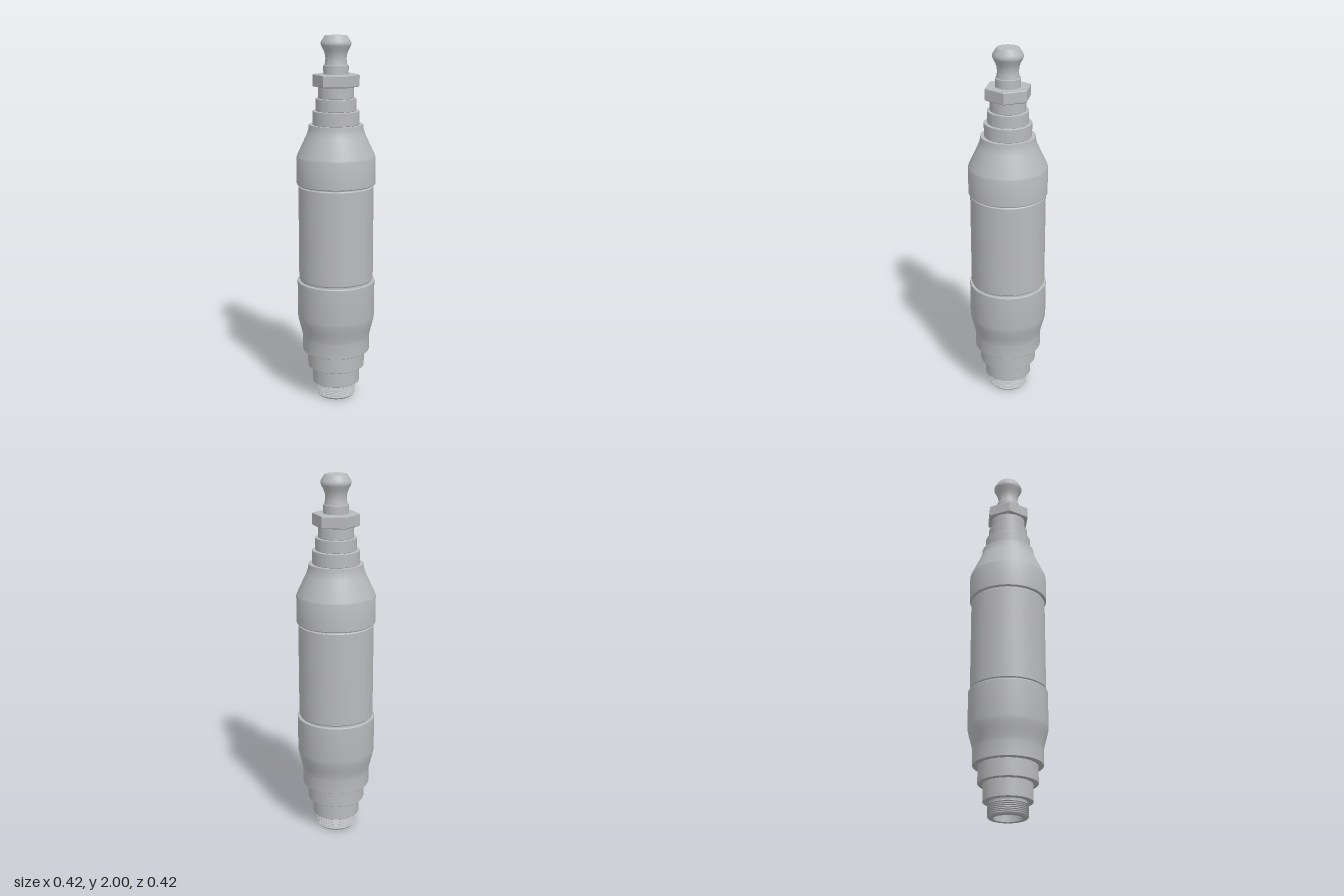
import * as THREE from 'three';
import { toCreasedNormals } from 'three/addons/utils/BufferGeometryUtils.js';

export function createModel() {
  const model = new THREE.Group();
  model.name = 'cylindricalSensor';
  const steel = new THREE.MeshStandardMaterial({ color: 0xb9babd });
  steel.name = 'satin steel';

  const add = (name, geometry) => {
    const mesh = new THREE.Mesh(geometry, steel);
    mesh.name = name;
    model.add(mesh);
  };
  // Turned part: [radius, height] pairs from bottom to top
  const turn = (name, points, segments = 72) => {
    const profile = points.map(([r, y]) => new THREE.Vector2(r, y));
    add(name, toCreasedNormals(new THREE.LatheGeometry(profile, segments), 0.4));
  };
  // Solid disc-like step with a tiny edge break
  const step = (name, r, y0, y1, c = 0.002) =>
    turn(name, [[0, y0], [r - c, y0], [r, y0 + c], [r, y1 - c], [r - c, y1], [0, y1]]);

  // Threaded connector with an open bore
  const thread = [[0, 0.07], [0.074, 0.07], [0.074, 0], [0.098, 0], [0.104, 0.007]];
  const turns = 7, pitch = 0.0095;
  for (let i = 0; i < turns; i++) {
    const y = 0.009 + i * pitch;
    thread.push([0.106, y], [0.106, y + 0.002], [0.099, y + pitch * 0.55], [0.099, y + pitch * 0.7]);
  }
  thread.push([0.1, 0.085], [0, 0.085]);
  turn('threadedConnector', thread);

  // Lower stepped collars
  step('lowerCollarSmall', 0.13, 0.082, 0.176);
  step('lowerCollarLarge', 0.157, 0.176, 0.271);

  // Lower housing with a soft S-shaped shoulder
  const lower = [[0, 0.271], [0.183, 0.271], [0.185, 0.273], [0.185, 0.35]];
  for (let i = 1; i <= 10; i++) {
    const t = i / 10;
    const s = 0.5 * t + 0.5 * t * t * (3 - 2 * t);
    lower.push([0.185 + 0.027 * s, 0.35 + 0.125 * t]);
  }
  lower.push([0.212, 0.672], [0.209, 0.676], [0, 0.676]);
  turn('lowerHousing', lower);

  // Main barrel between two narrow seams
  step('lowerSeam', 0.197, 0.67, 0.69, 0.001);
  step('barrel', 0.203, 0.684, 1.206, 0.005);
  step('upperSeam', 0.197, 1.2, 1.22, 0.001);

  // Upper housing tapering to a neck
  turn('upperHousing', [
    [0, 1.213], [0.209, 1.213], [0.212, 1.217], [0.212, 1.36], [0.209, 1.37],
    [0.16, 1.475], [0.152, 1.495], [0.147, 1.515], [0.145, 1.535], [0, 1.535],
  ]);

  // Upper stepped collars
  step('upperCollarLarge', 0.126, 1.535, 1.608);
  step('upperCollarMiddle', 0.109, 1.608, 1.674);
  step('upperCollarSmall', 0.095, 1.674, 1.738);

  // Hexagonal nut with broken edges
  const nut = [[0, 1.735], [0.121, 1.735], [0.125, 1.739], [0.125, 1.796], [0.121, 1.8], [0, 1.8]];
  turn('hexNut', nut, 6);

  // Nipple: collar, waist and rounded tip
  step('nippleCollar', 0.067, 1.798, 1.847);
  turn('nipple', [
    [0, 1.845], [0.061, 1.845], [0.057, 1.865], [0.056, 1.882], [0.058, 1.9],
    [0.064, 1.92], [0.075, 1.941], [0.08, 1.953], [0.08, 1.963], [0.077, 1.972],
    [0.058, 2], [0, 2],
  ]);

  return model;
}
